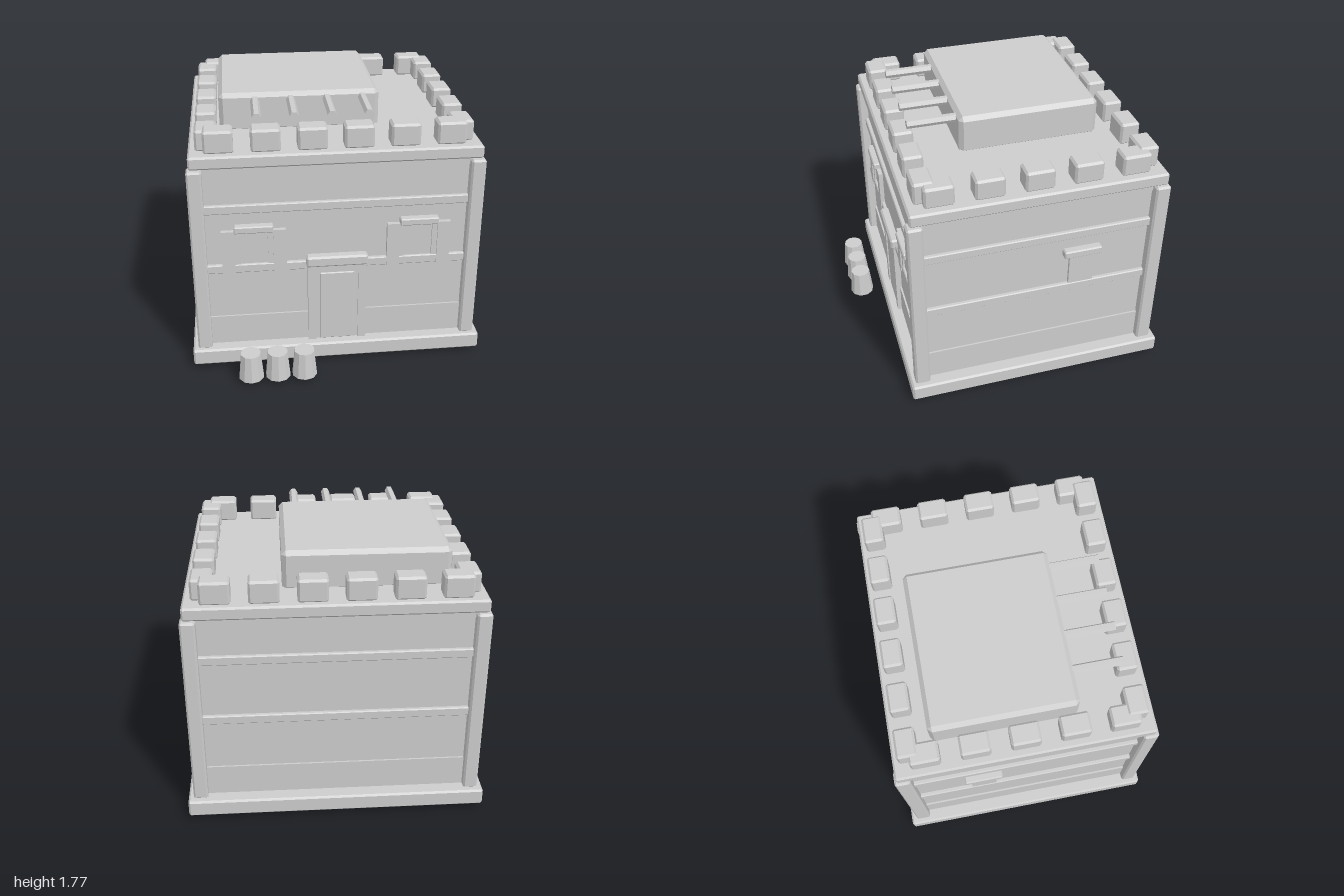
import * as THREE from 'three';
import { ConvexGeometry } from 'three/addons/geometries/ConvexGeometry.js';

export function createModel() {
  const model = new THREE.Group();
  const clay = new THREE.MeshStandardMaterial({ color: 0xcccccc });
  clay.name = 'plainGrey';

  function add(name, geometry) {
    const mesh = new THREE.Mesh(geometry, clay);
    mesh.name = name;
    model.add(mesh);
    return mesh;
  }

  // box given by its limits, with all edges chamfered by c
  function block(name, x0, x1, y0, y1, z0, z1, c = 0.01) {
    const w = (x1 - x0) / 2, h = (y1 - y0) / 2, d = (z1 - z0) / 2;
    let geometry;
    if (c > 0) {
      const points = [];
      for (const sx of [-1, 1]) for (const sy of [-1, 1]) for (const sz of [-1, 1]) {
        points.push(new THREE.Vector3(sx * w, sy * (h - c), sz * (d - c)));
        points.push(new THREE.Vector3(sx * (w - c), sy * h, sz * (d - c)));
        points.push(new THREE.Vector3(sx * (w - c), sy * (h - c), sz * d));
      }
      geometry = new ConvexGeometry(points);
    } else {
      geometry = new THREE.BoxGeometry(2 * w, 2 * h, 2 * d);
    }
    const mesh = add(name, geometry);
    mesh.position.set((x0 + x1) / 2, (y0 + y1) / 2, (z0 + z1) / 2);
    return mesh;
  }

  // cylinder or cone with flat faces
  function faceted(name, top, bottom, height, sides, start = 0) {
    const g = new THREE.CylinderGeometry(top, bottom, height, sides, 1, false, start).toNonIndexed();
    g.computeVertexNormals();
    return add(name, g);
  }

  // base slab, walls and roof slab
  block('base', -0.98, 0.98, 0.035, 0.15, -1, 0.765, 0.012);
  block('walls', -0.88, 0.88, 0.14, 1.46, -0.895, 0.67, 0);
  block('roofSlab', -0.93, 0.93, 1.45, 1.535, -0.945, 0.715, 0.012);

  // bands that run round the walls
  for (const [name, y0, y1, out, c] of [
    ['plinth', 0.14, 0.36, 0.012, 0],
    ['lowerBand', 0.70, 0.76, 0.025, 0.006],
    ['upperBand', 1.13, 1.19, 0.025, 0.006],
    ['cornice', 1.40, 1.455, 0.012, 0],
  ]) block(name, -0.88 - out, 0.88 + out, y0, y1, -0.895 - out, 0.67 + out, c);

  // corner posts
  for (const s of [-1, 1]) {
    const [x0, x1] = s < 0 ? [-0.945, -0.85] : [0.85, 0.945];
    block('cornerPost', x0, x1, 0.145, 1.445, 0.635, 0.735, 0.012);
    block('cornerPost', x0, x1, 0.145, 1.445, -0.96, -0.86, 0.012);
  }

  // battlements on the four edges
  for (let i = 0; i < 6; i++) {
    const x = -0.74 + i * 0.294;
    block('battlement', x - 0.094, x + 0.094, 1.53, 1.68, 0.53, 0.665, 0.014);
    block('battlement', x - 0.094, x + 0.094, 1.53, 1.68, -0.905, -0.775, 0.014);
  }
  for (let i = 0; i < 5; i++) {
    const z = -0.74 + i * 0.314;
    block('battlement', -0.885, -0.75, 1.53, 1.67, z - 0.095, z + 0.095, 0.014);
    block('battlement', 0.745, 0.88, 1.53, 1.67, z - 0.095, z + 0.095, 0.014);
  }

  // raised roof with projecting beams
  block('raisedRoof', -0.73, 0.325, 1.51, 1.775, -0.69, 0.25, 0.028);
  for (const x of [-0.495, -0.26, -0.022, 0.213]) {
    const beam = faceted('roofBeam', 0.03, 0.03, 0.36, 6, Math.PI / 2);
    beam.rotation.x = Math.PI / 2;
    beam.position.set(x, 1.727, 0.39);
  }

  // front windows with shutters and lintel
  for (const c of [-0.543, 0.537]) {
    block('shutter', c - 0.21, c - 0.125, 0.70, 1.005, 0.65, 0.70, 0);
    block('shutter', c + 0.125, c + 0.21, 0.70, 1.005, 0.65, 0.70, 0);
    block('windowFrame', c - 0.125, c - 0.09, 0.755, 1.0, 0.65, 0.69, 0);
    block('windowFrame', c + 0.09, c + 0.125, 0.755, 1.0, 0.65, 0.69, 0);
    block('windowPane', c - 0.09, c + 0.09, 0.76, 1.0, 0.65, 0.678, 0);
    block('windowLintel', c - 0.127, c + 0.127, 0.997, 1.045, 0.65, 0.72, 0.007);
  }

  // side windows
  for (const s of [-1, 1]) {
    const side = (a, b) => (s > 0 ? [a, b] : [-b, -a]);
    block('sideWindow', ...side(0.86, 0.90), 0.75, 1.0, -0.495, -0.325, 0);
    block('sideLintel', ...side(0.86, 0.93), 0.99, 1.045, -0.535, -0.28, 0.008);
  }

  // doorway
  block('doorJamb', -0.197, -0.142, 0.145, 0.74, 0.65, 0.71, 0);
  block('doorJamb', 0.14, 0.192, 0.145, 0.74, 0.65, 0.71, 0);
  block('doorSurround', -0.142, 0.14, 0.145, 0.73, 0.65, 0.697, 0);
  block('door', -0.117, 0.115, 0.15, 0.668, 0.66, 0.705, 0.006);
  block('doorLintel', -0.207, 0.2, 0.725, 0.80, 0.65, 0.728, 0.012);

  // tapered tubs beside the door
  for (const x of [-0.597, -0.42, -0.243]) {
    faceted('tub', 0.067, 0.085, 0.185, 10).position.set(x, 0.125, 0.915);
  }

  // small stones poking out under the base
  for (const [x, z, r, tip] of [
    [-0.09, -0.79, 0.06, 0.015], [0.53, -0.64, 0.03, 0.015], [0.03, -0.62, 0.045, 0.012],
    [-0.17, 0.48, 0.035, 0.01], [-0.27, 0.19, 0.05, 0],
  ]) {
    faceted('stone', r, r * 0.4, 0.06, 5).position.set(x, tip + 0.03, z);
  }

  return model;
}
